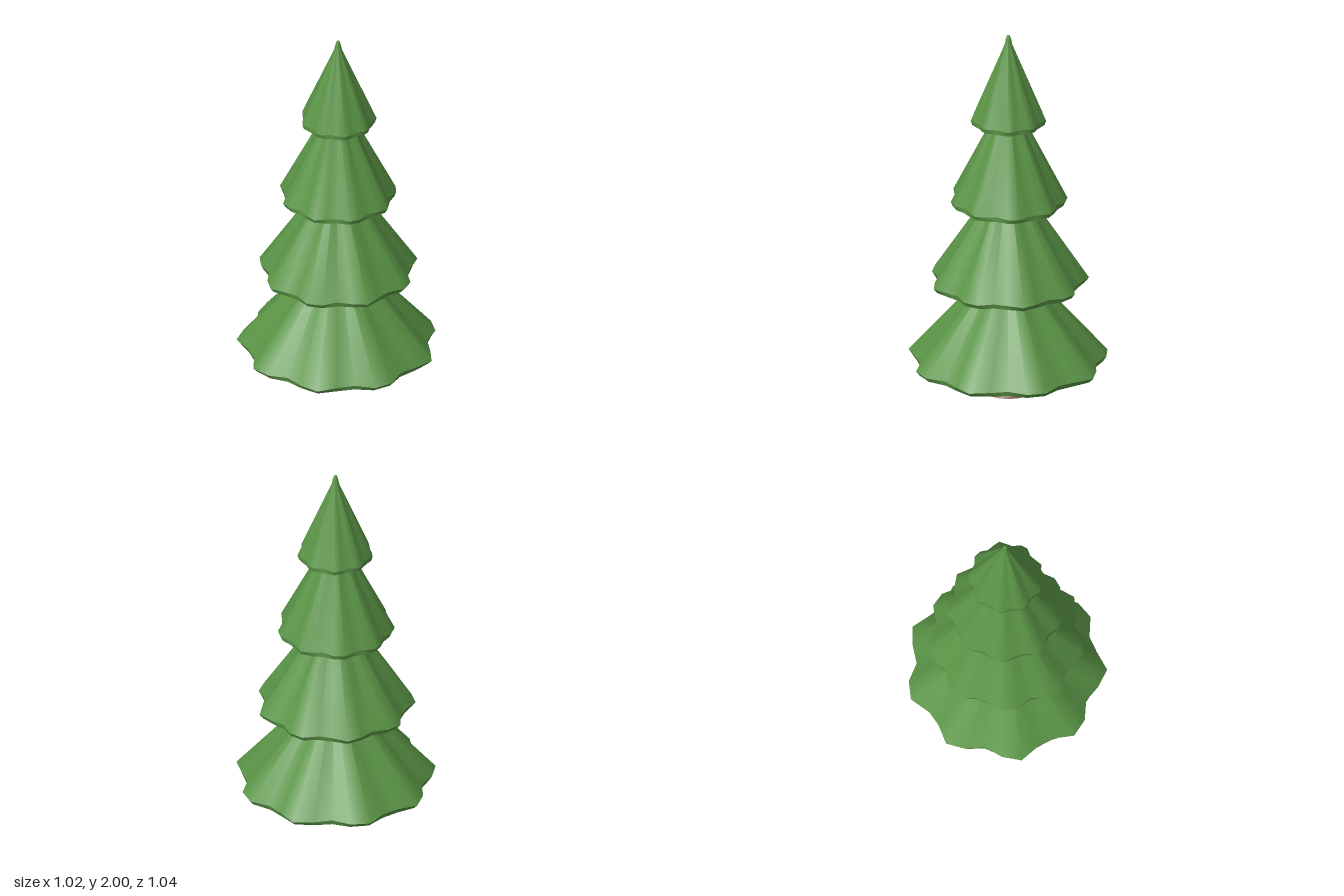
import * as THREE from 'three';

const SEGMENTS = 32;
const LOBES = 9;
const WAVE = 0.07;

// Smooth ring surface; profile rows run top to bottom as [radius, y, wave amount]
function flutedSurface(profile, phase) {
  const pos = [], index = [];
  for (const [r, y, wave] of profile) {
    for (let i = 0; i < SEGMENTS; i++) {
      const a = (i / SEGMENTS) * Math.PI * 2;
      const radius = r * (1 + wave * Math.cos(LOBES * a - phase));
      pos.push(radius * Math.cos(a), y, radius * Math.sin(a));
    }
  }
  for (let j = 0; j < profile.length - 1; j++) {
    for (let i = 0; i < SEGMENTS; i++) {
      const n = (i + 1) % SEGMENTS;
      const a = j * SEGMENTS + i, b = j * SEGMENTS + n;
      const c = a + SEGMENTS, d = b + SEGMENTS;
      index.push(a, b, c, b, d, c);
    }
  }
  const geo = new THREE.BufferGeometry();
  geo.setAttribute('position', new THREE.Float32BufferAttribute(pos, 3));
  geo.setIndex(index);
  geo.computeVertexNormals();
  return geo;
}

export function createModel() {
  const foliage = new THREE.MeshStandardMaterial({ name: 'foliage green', color: 0x5a9446 });
  const shade = new THREE.MeshStandardMaterial({ name: 'underside dark green', color: 0x2d5b32 });
  const bark = new THREE.MeshStandardMaterial({ name: 'bark brown', color: 0x774d35 });
  const darkBark = new THREE.MeshStandardMaterial({ name: 'dark bark brown', color: 0x4a3020 });

  const tree = new THREE.Group();
  tree.name = 'tree';
  const add = (name, geo, mat, parent) => {
    const mesh = new THREE.Mesh(geo, mat);
    mesh.name = name;
    parent.add(mesh);
  };

  // Trunk with a flared foot
  const trunkProfile = [[0, 0], [0.142, 0], [0.142, 0.002], [0.12, 0.025], [0.106, 0.06],
    [0.097, 0.11], [0.092, 0.17], [0.089, 0.3]].map(([x, y]) => new THREE.Vector2(x, y));
  add('trunkBase', new THREE.LatheGeometry(trunkProfile.slice(0, 2), 24), darkBark, tree);
  add('trunk', new THREE.LatheGeometry(trunkProfile.slice(2), 24), bark, tree);

  // Branch tiers, each turned a little further than the one below
  const tiers = [
    { r: 0.495, y: 0.18, top: [[0.05, 0.73, 0]] },
    { r: 0.392, y: 0.63, top: [[0.04, 1.2, 0]] },
    { r: 0.29, y: 1.08, top: [[0.03, 1.63, 0]] },
    { r: 0.187, y: 1.53, top: [[0.0001, 2.0, 0], [0.008, 1.995, 0], [0.014, 1.975, 0], [0.02, 1.945, 0]] },
  ];
  tiers.forEach(({ r, y, top }, k) => {
    const group = new THREE.Group();
    group.name = `tier${k + 1}`;
    const phase = 0.9 * k;
    const edge = [r, y, WAVE];

    // Rim tucks under and is less wavy than the edge above it
    const lower = k < 2 ? [r * 0.975, y - 0.024, 0.05] : [r * 0.985, y - 0.024, 0.04];
    add('skirt', flutedSurface([...top, edge], phase), foliage, group);
    add('rim', flutedSurface([edge, lower], phase), foliage, group);

    // Shallow hollow underside
    add('underside', flutedSurface([lower, [0.0001, y + 0.06, 0]], phase), shade, group);
    tree.add(group);
  });

  // The tree's axis sits slightly to one side of the centre
  tree.position.x = -0.02;
  const model = new THREE.Group();
  model.name = 'pineTree';
  model.add(tree);
  return model;
}
